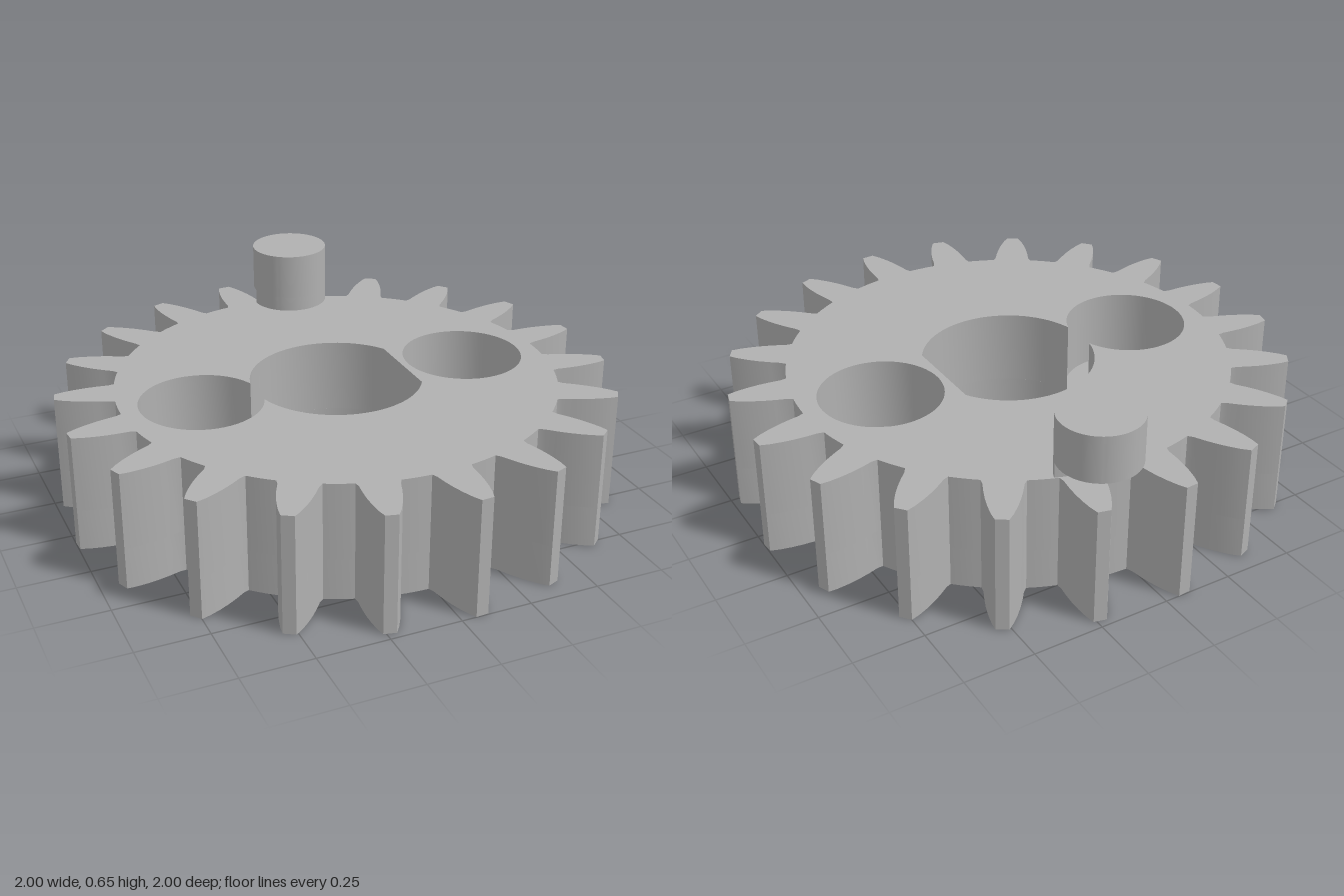
import * as THREE from 'three';
import { toCreasedNormals } from 'three/addons/utils/BufferGeometryUtils.js';

const TEETH = 20, ROOT = 0.79, HEIGHT = 0.425, FLOOR = 0.15;
const BORE = 0.31, FLAT_X = 0.265, HOLE_X = 0.51, HOLE_R = 0.126, SEAT_R = 0.22;
const PIN = { x: 0.137, z: -0.787, r: 0.144, gap: 0.48, top: 0.65 };

// Points along an arc, both ends included
function arc(cx, cy, r, from, to, n = 48) {
  return Array.from({ length: n + 1 }, (_, i) => {
    const a = from + (to - from) * i / n;
    return new THREE.Vector2(cx + r * Math.cos(a), cy + r * Math.sin(a));
  });
}
const circle = (cx, cy, r, n = 64) => arc(cx, cy, r, 0, Math.PI * 2, n).slice(0, -1);

// Gear outline: curved tooth flanks joined by root arcs
function gearOutline() {
  const flank = [[ROOT, 0.073], [0.81, 0.066], [0.85, 0.062], [0.89, 0.056], [0.93, 0.047], [0.97, 0.035], [1.0, 0.022]];
  const tooth = [
    ...flank.map(([r, w]) => [r, -w]),
    ...flank.slice().reverse(),
  ];
  const step = Math.PI * 2 / TEETH, rootHalf = Math.atan2(0.073, ROOT);
  const points = [];
  for (let i = 0; i < TEETH; i++) {
    const a = THREE.MathUtils.degToRad(4.2) + i * step;
    const c = Math.cos(a), s = Math.sin(a);
    for (const [r, w] of tooth) points.push(new THREE.Vector2(r * c - w * s, r * s + w * c));
    const rootR = Math.hypot(ROOT, 0.073);
    points.push(...arc(0, 0, rootR, a + rootHalf, a + step - rootHalf, 4).slice(1, -1));
  }
  return points;
}

// Upright slab from a plan outline
function slab(name, outline, holes, y0, y1, material) {
  const shape = new THREE.Shape(outline);
  shape.holes = holes.map((h) => new THREE.Path(h));
  const geometry = new THREE.ExtrudeGeometry(shape, { depth: y1 - y0, bevelEnabled: false });
  geometry.rotateX(-Math.PI / 2).translate(0, y0, 0);
  const mesh = new THREE.Mesh(toCreasedNormals(geometry, 0.5), material);
  mesh.name = name;
  return mesh;
}

export function createModel() {
  const group = new THREE.Group();
  group.name = 'gear';
  const metal = new THREE.MeshStandardMaterial({ color: 0xb0b0b0 });
  metal.name = 'grey metal';

  const outline = gearOutline();
  const flatAngle = Math.acos(FLAT_X / BORE);

  // Lower layer: D-shaped bore and two small bolt holes
  const bore = arc(0, 0, BORE, flatAngle, Math.PI * 2 - flatAngle, 72);
  group.add(slab('lowerGear', outline,
    [bore, circle(HOLE_X, 0, HOLE_R), circle(-HOLE_X, 0, HOLE_R)], 0, FLOOR, metal));

  // Upper layer: wide bolt seats, one of which breaks into the bore
  const ix = (HOLE_X ** 2 + BORE ** 2 - SEAT_R ** 2) / (2 * HOLE_X);
  const iy = Math.sqrt(BORE ** 2 - ix ** 2);
  const b = Math.atan2(iy, ix), c = Math.atan2(iy, HOLE_X - ix);
  const boreWithSeat = [
    ...arc(0, 0, BORE, flatAngle, Math.PI - b, 32),
    ...arc(-HOLE_X, 0, SEAT_R, c, Math.PI * 2 - c, 56).slice(1, -1),
    ...arc(0, 0, BORE, Math.PI + b, Math.PI * 2 - flatAngle, 32),
  ];
  group.add(slab('upperGear', outline,
    [boreWithSeat, circle(HOLE_X, 0, SEAT_R)], FLOOR, HEIGHT, metal));

  // Pin neck, trimmed to the root circle of the gear
  const pinCircle = circle(PIN.x, -PIN.z, PIN.r, 96);
  const neck = pinCircle.map((p) => p.clone().clampLength(0, ROOT));
  group.add(slab('pinNeck', neck, [], HEIGHT, PIN.gap, metal));

  // Round pin head overhanging the teeth
  group.add(slab('pinHead', pinCircle, [], PIN.gap, PIN.top, metal));

  return group;
}
